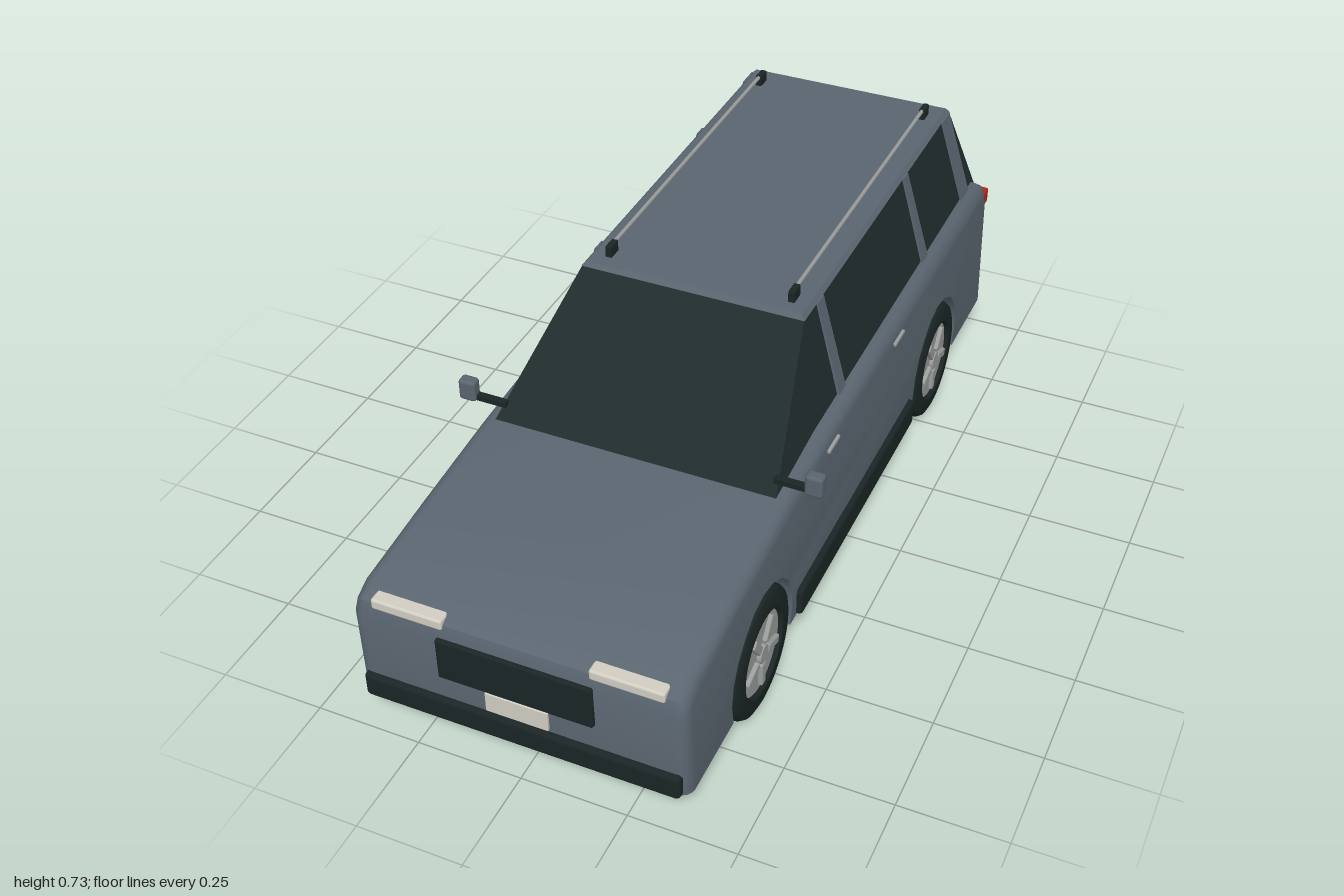
import * as THREE from 'three';
import { toCreasedNormals } from 'three/addons/utils/BufferGeometryUtils.js';
import { RoundedBoxGeometry } from 'three/addons/geometries/RoundedBoxGeometry.js';

const mat = (name, color) => {
  const m = new THREE.MeshStandardMaterial({ color });
  m.name = name;
  return m;
};

const WHEEL_Z = [0.598, -0.565], WHEEL_Y = 0.157, ARCH_R = 0.17, FLOOR_Y = 0.1;

export function createModel() {
  const car = new THREE.Group();
  car.name = 'car';
  const paint = mat('body paint', 0x5a6570);
  const glass = mat('dark glass', 0x202c2c);
  const trim = mat('dark trim', 0x1b2525);
  const metal = mat('silver metal', 0x9c9d9d);
  const lamp = mat('pale lamp', 0xd2cec3);
  const red = mat('red lamp', 0xbb2418);

  const add = (name, geometry, material, parent = car) => {
    const m = new THREE.Mesh(geometry, material);
    m.name = name;
    parent.add(m);
    return m;
  };
  // Rounded block given by its lower and upper limits on each axis
  const block = (name, material, [x0, x1], [y0, y1], [z0, z1], r = 0.006) => {
    const m = add(name, new RoundedBoxGeometry(x1 - x0, y1 - y0, z1 - z0, 2, r), material);
    m.position.set((x0 + x1) / 2, (y0 + y1) / 2, (z0 + z1) / 2);
    return m;
  };
  // Six-sided solid between two level rectangles [x0, x1, z0, z1]
  const prism = (name, material, y0, low, y1, high) => {
    const g = new THREE.BoxGeometry(1, 1, 1).toNonIndexed();
    const p = g.attributes.position;
    for (let i = 0; i < p.count; i++) {
      const r = p.getY(i) > 0 ? high : low;
      p.setXYZ(i, r[p.getX(i) > 0 ? 1 : 0], p.getY(i) > 0 ? y1 : y0, r[p.getZ(i) > 0 ? 3 : 2]);
    }
    g.computeVertexNormals();
    return add(name, g, material);
  };
  // Limits on the x axis, mirrored to side s
  const span = (s, a, b) => (s > 0 ? [a, b] : [-b, -a]);

  // Lower body: side outline with wheel arches, extruded across the width
  const outline = [[-0.985, FLOOR_Y]];
  const start = Math.asin((WHEEL_Y - FLOOR_Y) / ARCH_R);
  for (const wz of [...WHEEL_Z].reverse()) {
    for (let i = 0; i <= 12; i++) {
      const a = Math.PI + start - (i / 12) * (Math.PI + 2 * start);
      outline.push([wz + ARCH_R * Math.cos(a), WHEEL_Y + ARCH_R * Math.sin(a)]);
    }
  }
  outline.push([0.985, FLOOR_Y], [0.993, 0.33], [0.98, 0.365], [0.935, 0.392], [0.7, 0.421],
    [0.43, 0.449], [0.2, 0.463], [-0.955, 0.468], [-0.982, 0.45], [-0.993, 0.41]);
  const bevel = 0.03, half = 0.386;
  const body = new THREE.ExtrudeGeometry(new THREE.Shape(outline.map(([z, y]) => new THREE.Vector2(z, y))), {
    depth: 2 * (half - bevel), bevelThickness: bevel, bevelSize: bevel, bevelOffset: -bevel, bevelSegments: 4,
  });
  body.translate(0, 0, -(half - bevel)).rotateY(-Math.PI / 2);
  const pos = body.attributes.position;
  const archFoot = Math.sqrt(ARCH_R ** 2 - (WHEEL_Y - FLOOR_Y) ** 2);
  for (let i = 0; i < pos.count; i++) {
    let x = pos.getX(i), y = pos.getY(i), z = pos.getZ(i);
    const low = y < FLOOR_Y + bevel + 0.004;
    // Keep the arches round and the bottom edge straight through the bevel
    for (const wz of WHEEL_Z) {
      const dz = z - wz, dy = y - WHEEL_Y, d = Math.hypot(dz, dy);
      if (d > 0.215) continue;
      z = wz + (low ? Math.sign(dz) * archFoot : (dz * ARCH_R) / d);
      if (!low) y = WHEEL_Y + (dy * ARCH_R) / d;
    }
    if (low) y = FLOOR_Y;
    // Sides lean in above the waist
    x *= 1 - 0.22 * Math.max(0, y - 0.3);
    pos.setXYZ(i, x, y, z);
  }
  add('body', toCreasedNormals(body, 0.6), paint);
  block('floor', paint, [-0.275, 0.275], [0.1, 0.108], [-0.97, 0.97], 0.002);

  // Cabin
  prism('cabinGlass', glass, 0.445, [-0.342, 0.342, -0.978, 0.435], 0.69, [-0.272, 0.272, -0.91, 0.108]);
  prism('roof', paint, 0.688, [-0.274, 0.274, -0.912, 0.112], 0.699, [-0.264, 0.264, -0.905, 0.104]);
  const pillars = [[0.012, 0.052, 0.002, 0.038], [-0.578, -0.54, -0.574, -0.542], [-0.916, -0.86, -0.902, -0.845]];

  for (const s of [1, -1]) {
    for (const [a, b, c, d] of pillars) {
      prism('pillar', paint, 0.45, [...span(s, 0.325, 0.347), a, b], 0.69, [...span(s, 0.255, 0.277), c, d]);
    }
    // Roof rails
    const rail = add('roofRail', new THREE.CylinderGeometry(0.005, 0.005, 0.93, 8), metal);
    rail.rotation.x = Math.PI / 2;
    rail.position.set(s * 0.225, 0.722, -0.398);
    for (const z of [0.052, -0.842]) {
      block('railFoot', trim, span(s, 0.217, 0.233), [0.695, 0.727], [z - 0.019, z + 0.019], 0.003);
    }
    // Mirrors
    block('mirrorArm', trim, span(s, 0.325, 0.41), [0.468, 0.485], [0.392, 0.408], 0.003);
    block('mirror', paint, span(s, 0.398, 0.44), [0.468, 0.522], [0.388, 0.418], 0.008);
    // Sills and door handles
    block('sill', trim, span(s, 0.36, 0.4), [0.1, 0.174], [-0.367, 0.402], 0.01);
    for (const z of [0.177, -0.265]) {
      block('doorHandle', metal, span(s, 0.36, 0.382), [0.419, 0.429], [z - 0.033, z + 0.033], 0.003);
    }
    // Lamps
    block('headlight', lamp, span(s, 0.167, 0.335), [0.353, 0.38], [0.945, 0.986], 0.006);
    block('taillight', red, span(s, 0.25, 0.385 - 0.01), [0.394, 0.436], [-1, -0.96], 0.006);
  }

  // Grille, bumpers and plates
  block('grille', trim, [-0.18, 0.18], [0.229, 0.338], [0.97, 1], 0.006);
  block('frontBumper', trim, [-0.37, 0.37], [0.098, 0.163], [0.955, 1], 0.012);
  block('rearBumper', trim, [-0.37, 0.37], [0.098, 0.163], [-1, -0.955], 0.012);
  block('frontPlate', lamp, [-0.073, 0.073], [0.172, 0.224], [0.988, 0.996], 0.002);
  block('rearPlate', lamp, [-0.073, 0.073], [0.248, 0.3], [-0.999, -0.99], 0.002);

  // Wheels: tyre, rim disc, five spokes and a hub, with the outer face along +y before turning
  const tyre = toCreasedNormals(new THREE.LatheGeometry([
    [0.1, -0.047], [0.136, -0.047], [0.149, -0.041], [0.155, -0.03], [0.156, 0], [0.155, 0.03],
    [0.149, 0.041], [0.136, 0.047], [0.106, 0.047], [0.1, 0.036],
  ].map(([r, y]) => new THREE.Vector2(r, y)), 40).toNonIndexed(), 0.6);
  const disc = new THREE.CylinderGeometry(0.101, 0.101, 0.08, 40).translate(0, -0.003, 0);
  const spoke = new RoundedBoxGeometry(0.062, 0.016, 0.022, 2, 0.004).translate(0.058, 0.039, 0);
  const hub = new THREE.CylinderGeometry(0.022, 0.025, 0.016, 20).translate(0, 0.039, 0);
  for (const s of [1, -1]) {
    for (const z of WHEEL_Z) {
      const wheel = new THREE.Group();
      wheel.name = 'wheel';
      add('tyre', tyre, trim, wheel);
      add('rim', disc, metal, wheel);
      add('hub', hub, metal, wheel);
      for (let i = 0; i < 5; i++) {
        add('spoke', spoke, metal, wheel).rotation.y = (i * 2 * Math.PI) / 5;
      }
      wheel.rotation.z = (-s * Math.PI) / 2;
      wheel.position.set(s * 0.343, WHEEL_Y, z);
      car.add(wheel);
    }
  }
  return car;
}
